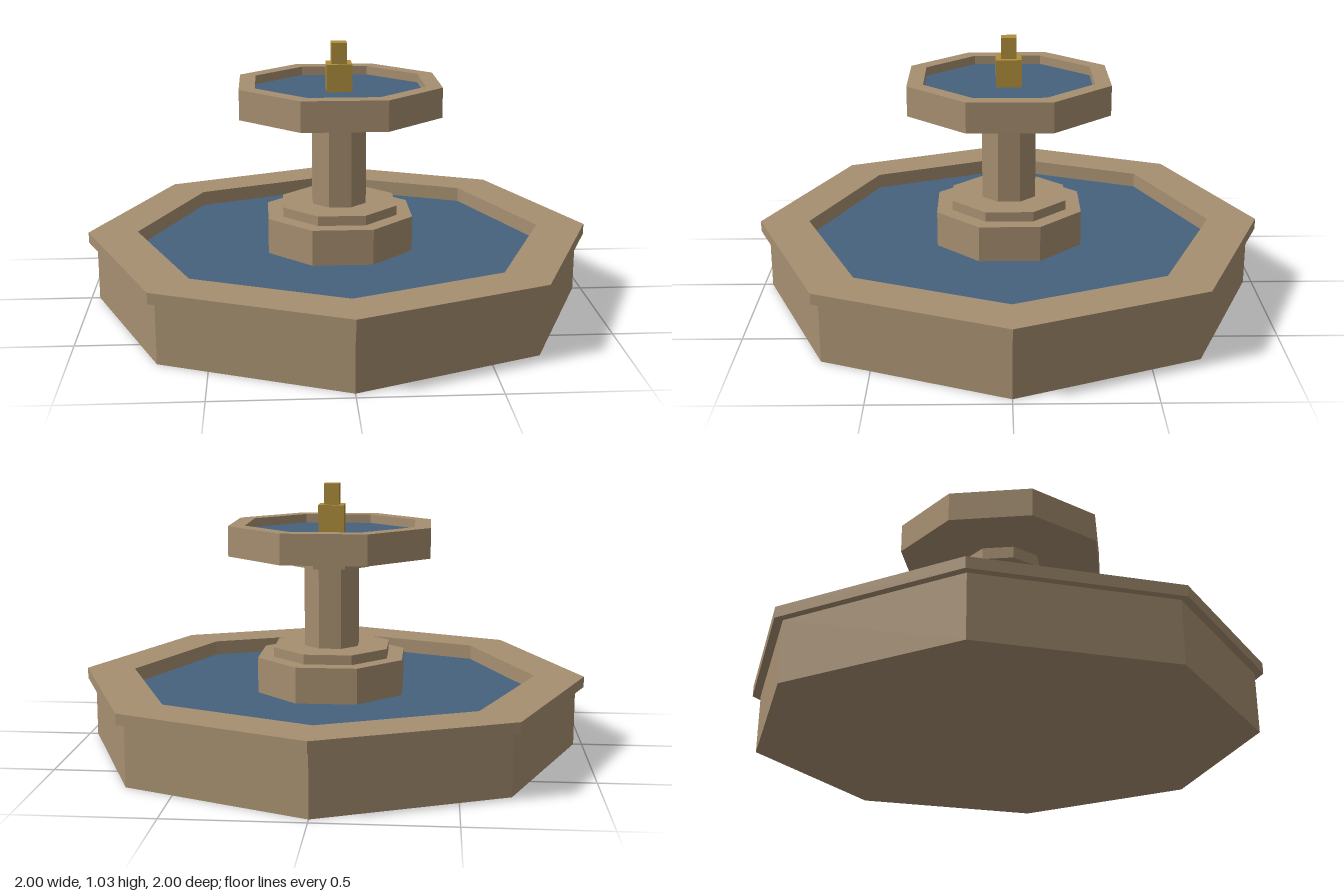
import * as THREE from 'three';

const SIDES = 8;
const FLAT_TURN = Math.PI / SIDES; // turns a flat side to the front

const stone = new THREE.MeshStandardMaterial({ color: 0xa68f70 });
stone.name = 'stone';
const water = new THREE.MeshStandardMaterial({ color: 0x46627e });
water.name = 'water';
const gold = new THREE.MeshStandardMaterial({ color: 0xb08f3c });
gold.name = 'gold';

function addPart(parent, name, geometry, material) {
  const mesh = new THREE.Mesh(geometry, material);
  mesh.name = name;
  parent.add(mesh);
  return mesh;
}

// Faceted octagonal solid turned from a [radius, y] profile, listed from the bottom outwards and up
function turned(profile, turn = 0) {
  const points = profile.map(([r, y]) => new THREE.Vector2(r, y));
  const geometry = new THREE.LatheGeometry(points, SIDES, turn).toNonIndexed();
  geometry.computeVertexNormals();
  return geometry;
}

// Octagonal block between two heights, sized by the distance to its flat sides
function block(halfWidth, y0, y1) {
  const r = halfWidth / Math.cos(FLAT_TURN);
  return turned([[0, y0], [r, y0], [r, y1], [0, y1]], FLAT_TURN);
}

// Flat octagonal water surface
function pool(radius, y, turn = 0) {
  return new THREE.CircleGeometry(radius, SIDES, turn).rotateX(-Math.PI / 2).translate(0, y, 0);
}

export function createModel() {
  const fountain = new THREE.Group();
  fountain.name = 'fountain';

  // Lower basin with an overhanging rim, corners on the axes
  const basin = new THREE.Group();
  basin.name = 'basin';
  fountain.add(basin);
  addPart(basin, 'basinWall', turned([
    [0, 0], [0.967, 0], [0.967, 0.235], [0.805, 0.235], [0.805, 0.17], [0, 0.17],
  ]), stone);
  addPart(basin, 'basinRim', turned([
    [0.805, 0.235], [1, 0.235], [1, 0.277], [0.805, 0.277], [0.805, 0.235],
  ]), stone);
  addPart(basin, 'basinWater', pool(0.805, 0.217), water);

  // Stepped pedestal: [name, half width, bottom, top]
  const pedestal = new THREE.Group();
  pedestal.name = 'pedestal';
  fountain.add(pedestal);
  for (const [name, halfWidth, y0, y1] of [
    ['pedestalBase', 0.283, 0.17, 0.357],
    ['pedestalStep', 0.223, 0.357, 0.395],
    ['column', 0.105, 0.395, 0.715],
    ['columnCap', 0.148, 0.715, 0.763],
  ]) addPart(pedestal, name, block(halfWidth, y0, y1), stone);

  // Upper bowl, flat sides to the front
  const upper = new THREE.Group();
  upper.name = 'upperBowl';
  fountain.add(upper);
  addPart(upper, 'bowl', turned([
    [0, 0.763], [0.42, 0.763], [0.42, 0.88], [0.353, 0.88], [0.353, 0.81], [0, 0.81],
  ], FLAT_TURN), stone);
  addPart(upper, 'bowlWater', pool(0.353, 0.845, FLAT_TURN), water);

  // Stacked square spout
  const spout = new THREE.Group();
  spout.name = 'spout';
  fountain.add(spout);
  addPart(spout, 'spoutBase', new THREE.BoxGeometry(0.1, 0.143, 0.1), gold).position.y = 0.8815;
  addPart(spout, 'spoutTip', new THREE.BoxGeometry(0.06, 0.082, 0.06), gold).position.y = 0.994;

  return fountain;
}
